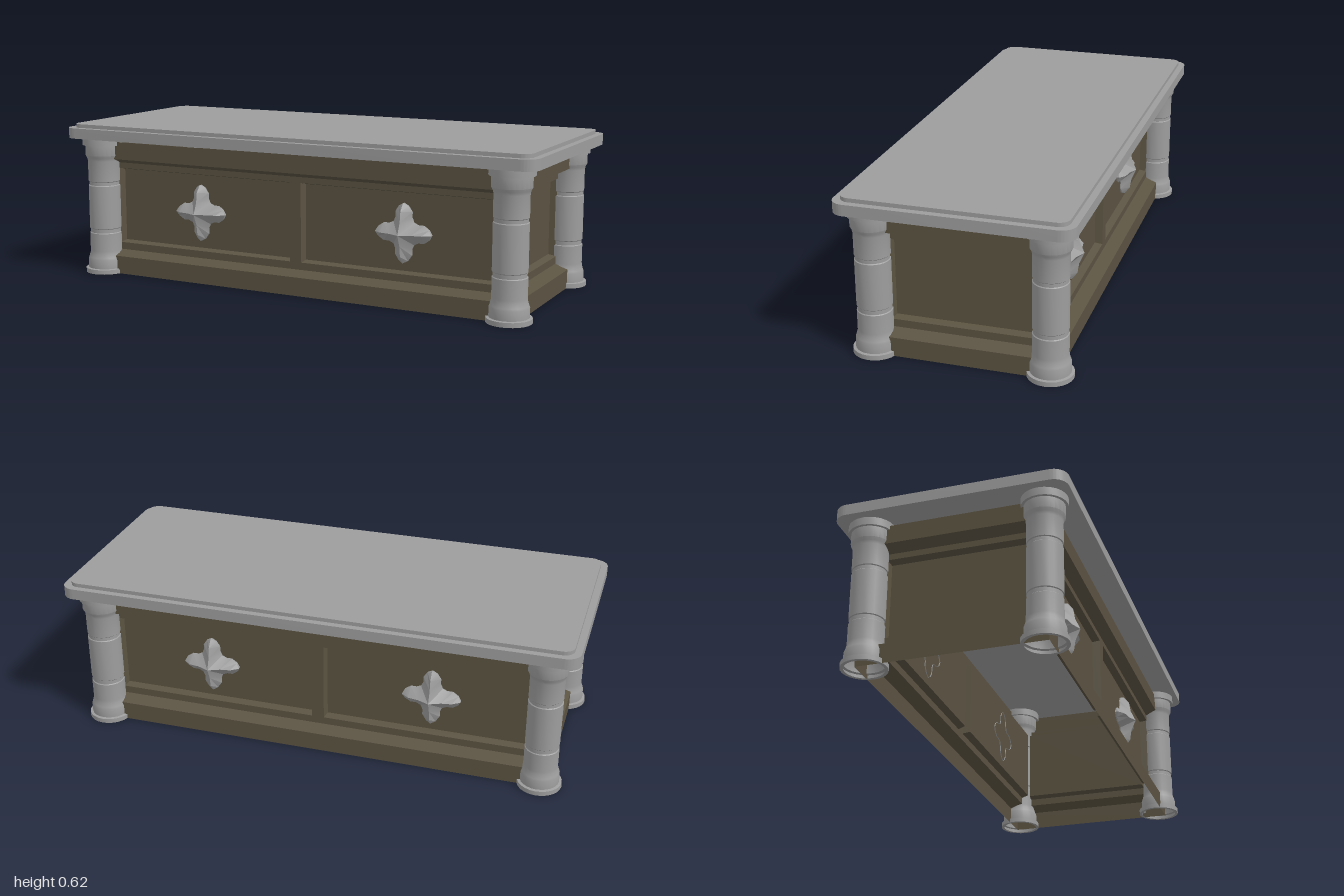
import * as THREE from 'three';
import { toCreasedNormals } from 'three/addons/utils/BufferGeometryUtils.js';

const stone = new THREE.MeshStandardMaterial({ color: 0x9d9d9d, side: THREE.DoubleSide });
const wood = new THREE.MeshStandardMaterial({ color: 0x5b5342, side: THREE.DoubleSide });

function mesh(name, geometry, material) {
  const m = new THREE.Mesh(geometry, material);
  m.name = name;
  return m;
}

// Flat-faced geometry from a list of triangles of [x, y, z] corners
function facets(triangles) {
  const g = new THREE.BufferGeometry();
  g.setAttribute('position', new THREE.Float32BufferAttribute(triangles.flat(2), 3));
  g.computeVertexNormals();
  return g;
}

// Surface joining a series of four-cornered rings
function joinRings(rings) {
  const tris = [];
  for (let i = 0; i < rings.length - 1; i++) {
    for (let k = 0; k < 4; k++) {
      const n = (k + 1) % 4;
      const a = rings[i][k], b = rings[i][n], c = rings[i + 1][n], d = rings[i + 1][k];
      tris.push([a, b, c], [a, c, d]);
    }
  }
  return facets(tris);
}

// Mitred rectangular moulding following a profile of [outward offset, height]
function moulding(hx, hz, profile) {
  return joinRings(profile.map(([o, y]) => [
    [-hx - o, y, hz + o], [hx + o, y, hz + o], [hx + o, y, -hz - o], [-hx - o, y, -hz - o],
  ]));
}

function rectPoints(x0, x1, y0, y1) {
  return [[x0, y0], [x1, y0], [x1, y1], [x0, y1]];
}

const WALL_Y = [0.092, 0.455], PANEL_Y = [0.121, 0.432], RECESS = 0.03, BEVEL = 0.007;

// Upright wall with sunken, bevelled panels, each given as [left, right]
function panelledWall(name, halfWidth, distance, panels) {
  const toVectors = (pts) => pts.map(([x, y]) => new THREE.Vector2(x, y));
  const wall = new THREE.Group();
  wall.name = name;
  const shape = new THREE.Shape(toVectors(rectPoints(-halfWidth, halfWidth, ...WALL_Y)));
  for (const [x0, x1] of panels) {
    const outer = rectPoints(x0, x1, ...PANEL_Y);
    const inner = rectPoints(x0 + BEVEL, x1 - BEVEL, PANEL_Y[0] + BEVEL, PANEL_Y[1] - BEVEL);
    shape.holes.push(new THREE.Path(toVectors(outer)));
    const edge = joinRings([outer.map((p) => [...p, distance]), inner.map((p) => [...p, distance - RECESS])]);
    const back = new THREE.ShapeGeometry(new THREE.Shape(toVectors(inner)));
    wall.add(mesh('panelBevel', edge, wood));
    wall.add(mesh('panel', back.translate(0, 0, distance - RECESS), wood));
  }
  wall.add(mesh('panelFrame', new THREE.ShapeGeometry(shape).translate(0, 0, distance), wood));
  return wall;
}

// Rounded rectangular slab lying flat between two heights
function slab(hx, hz, r, y0, y1) {
  const s = new THREE.Shape();
  s.absarc(hx - r, hz - r, r, 0, Math.PI / 2);
  s.absarc(-hx + r, hz - r, r, Math.PI / 2, Math.PI);
  s.absarc(-hx + r, -hz + r, r, Math.PI, Math.PI * 1.5);
  s.absarc(hx - r, -hz + r, r, Math.PI * 1.5, Math.PI * 2);
  const g = new THREE.ExtrudeGeometry(s, { depth: y1 - y0, bevelEnabled: false, curveSegments: 8 });
  g.rotateX(-Math.PI / 2).translate(0, y0, 0);
  return toCreasedNormals(g, 0.6);
}

// Four-armed ornament: ridged arms falling from a raised centre
function starGeometry() {
  const half = [[0.114, 0, 0.014], [0.104, 0.019, 0.006], [0.082, 0.034, 0.004], [0.06, 0.034, 0.004], [0.042, 0.042, 0.004]];
  const arm = [...half.slice(1).reverse().map(([x, y, z]) => [x, -y, z]), ...half];
  const ridge = [[0, 0, 0.062], [0.045, 0, 0.042], [0.085, 0, 0.036]];
  const ridgeOf = [0, 1, 1, 2, 2, 2, 1, 1, 0];
  const tris = [];
  for (let q = 0; q < 4; q++) {
    const c = Math.round(Math.cos(q * Math.PI / 2)), s = Math.round(Math.sin(q * Math.PI / 2));
    const turn = ([x, y, z]) => [x * c - y * s, x * s + y * c, z];
    for (let i = 0; i < arm.length - 1; i++) {
      const a = arm[i], b = arm[i + 1];
      const ra = ridge[ridgeOf[i]], rb = ridge[ridgeOf[i + 1]];
      tris.push([a, b, rb].map(turn));
      if (ra !== rb) tris.push([a, rb, ra].map(turn));
      // Rim back to the panel
      const a0 = [a[0], a[1], -0.004], b0 = [b[0], b[1], -0.004];
      tris.push([a0, b0, b].map(turn), [a0, b, a].map(turn));
    }
  }
  return toCreasedNormals(facets(tris), 0.35);
}

export function createModel() {
  const model = new THREE.Group();

  // Stepped table top
  model.add(mesh('topSlab', slab(1, 0.43, 0.055, 0.56, 0.602), stone));
  model.add(mesh('topUpperStep', slab(0.974, 0.405, 0.04, 0.602, 0.617), stone));

  // Hollow chest: plinth and cornice mouldings around four panelled walls
  const HX = 0.862, HZ = 0.297;
  model.add(mesh('plinth', moulding(HX, HZ, [[0.05, 0], [0.05, 0.073], [0, 0.092]]), wood));
  model.add(mesh('cornice', moulding(HX, HZ, [[0, 0.455], [0.045, 0.474], [0.045, 0.545]]), wood));

  // Corner columns
  const profile = [
    [0.072, 0], [0.0845, 0], [0.0845, 0.018], [0.074, 0.02], [0.074, 0.056], [0.071, 0.064], [0.066, 0.08],
    [0.065, 0.092], [0.065, 0.165], [0.062, 0.168], [0.062, 0.183], [0.065, 0.186], [0.065, 0.362], [0.062, 0.365],
    [0.062, 0.378], [0.065, 0.381], [0.065, 0.465], [0.068, 0.477], [0.074, 0.488], [0.074, 0.53],
    [0.0845, 0.53], [0.0845, 0.561],
  ].map(([r, y]) => new THREE.Vector2(r, y));
  const columnGeometry = toCreasedNormals(new THREE.LatheGeometry(profile, 24), 0.5);
  const star = starGeometry();

  for (const s of [1, -1]) {
    const turn = s > 0 ? 0 : Math.PI;

    // Long wall with two panels, each carrying an ornament
    const longWall = panelledWall(s > 0 ? 'frontWall' : 'backWall', HX, HZ, [[-0.825, -0.024], [0.024, 0.825]]);
    longWall.rotation.y = turn;
    model.add(longWall);

    // Short wall with a single panel
    const endWall = panelledWall(s > 0 ? 'leftWall' : 'rightWall', HZ, HX, [[-0.268, 0.268]]);
    endWall.rotation.y = turn + Math.PI / 2;
    model.add(endWall);

    for (const sx of [1, -1]) {
      const ornament = mesh('starOrnament', star, stone);
      ornament.position.set(sx * 0.445, 0.272, HZ - RECESS);
      longWall.add(ornament);

      const column = mesh('cornerColumn', columnGeometry, stone);
      column.position.set(sx * 0.882, 0, s * 0.324);
      model.add(column);
    }
  }
  return model;
}
